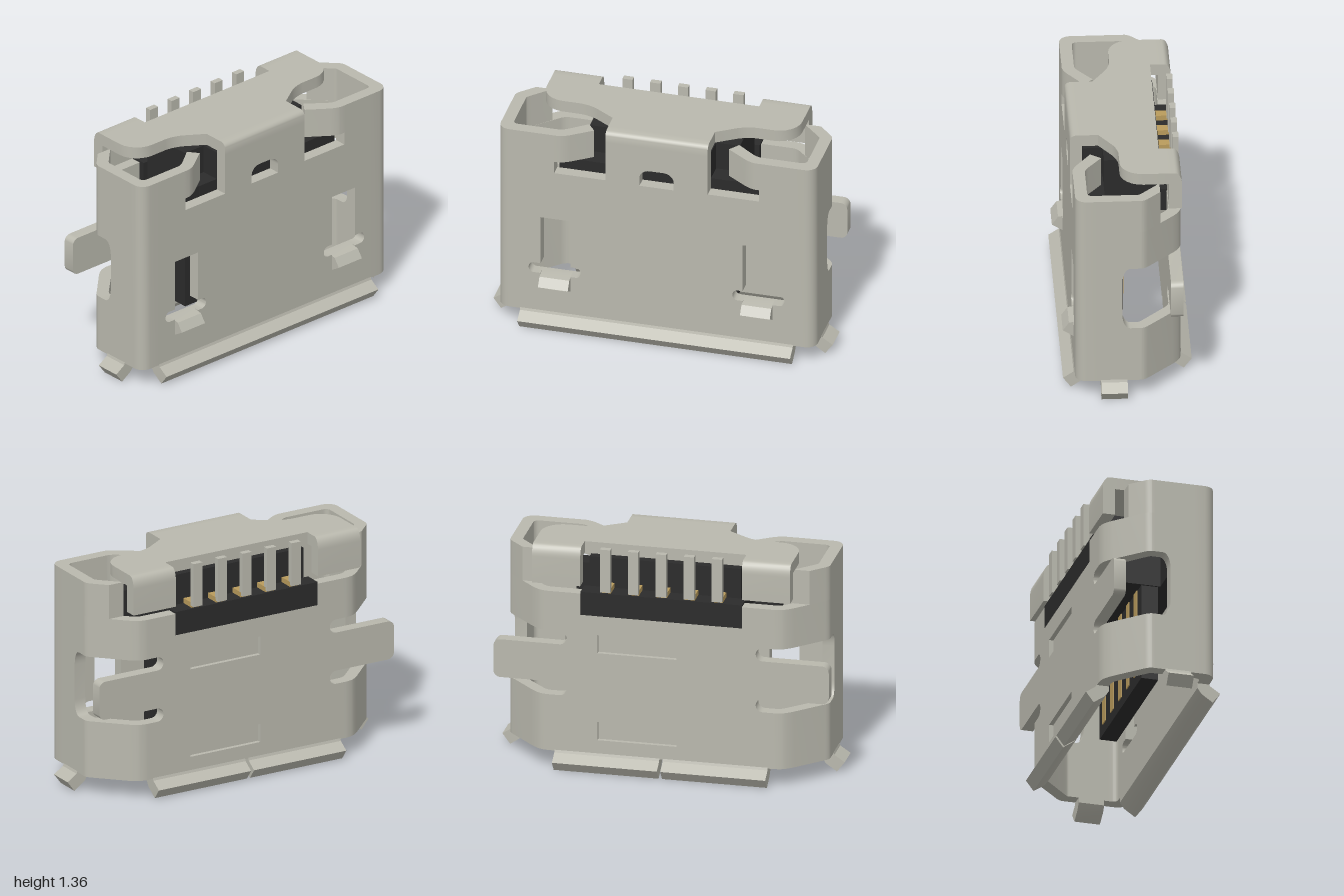
import * as THREE from 'three';
import { toCreasedNormals } from 'three/addons/utils/BufferGeometryUtils.js';

const mat = (name, color) => Object.assign(new THREE.MeshStandardMaterial({ color }), { name });

export function createModel() {
  const model = new THREE.Group();
  model.name = 'socket';
  const steel = mat('steel', 0xb9b8ad);
  const plastic = mat('blackPlastic', 0x2b2b2b);
  const gold = mat('gold', 0xb99b5c);

  // Closed outline from [x, y, cornerRadius] points
  function outline(pts, Kind = THREE.Shape) {
    const out = [];
    pts.forEach(([x, y, r], i) => {
      const p = new THREE.Vector2(x, y);
      if (!r) return out.push(p);
      const toward = (q) => {
        const d = new THREE.Vector2(q[0], q[1]).sub(p);
        return p.clone().addScaledVector(d, Math.min(r / d.length(), 0.5));
      };
      const a = toward(pts[(i + pts.length - 1) % pts.length]);
      const b = toward(pts[(i + 1) % pts.length]);
      // conic corner, close to a circular arc
      for (let k = 0; k <= 6; k++) {
        const t = k / 6, w0 = (1 - t) ** 2, w1 = Math.SQRT2 * t * (1 - t), w2 = t * t, w = w0 + w1 + w2;
        out.push(new THREE.Vector2(
          (a.x * w0 + p.x * w1 + b.x * w2) / w, (a.y * w0 + p.y * w1 + b.y * w2) / w));
      }
    });
    return new Kind(out);
  }
  const mirrored = (half) => [...half, ...half.map(([x, y, r]) => [-x, y, r]).reverse()];

  function add(name, geo, material) {
    const mesh = new THREE.Mesh(geo, material);
    mesh.name = name;
    model.add(mesh);
    return mesh;
  }
  // Extrude an outline along an axis; pts are (x,y) for z, (x,z) for y, (z,y) for x
  function prism(name, axis, pts, from, to, holes = []) {
    const map = ([a, b, r]) => axis === 'y' ? [a, -b, r] : axis === 'x' ? [-a, b, r] : [a, b, r];
    const shape = outline(pts.map(map));
    shape.holes = holes.map((h) => outline(h.map(map), THREE.Path));
    let geo = new THREE.ExtrudeGeometry(shape, { depth: to - from, bevelEnabled: false });
    geo.translate(0, 0, from);
    if (axis === 'y') geo.rotateX(-Math.PI / 2);
    if (axis === 'x') geo.rotateY(Math.PI / 2);
    return add(name, toCreasedNormals(geo, 0.5), steel);
  }
  function block(name, x0, x1, y0, y1, z0, z1, material) {
    const geo = new THREE.BoxGeometry(x1 - x0, y1 - y0, z1 - z0);
    geo.translate((x0 + x1) / 2, (y0 + y1) / 2, (z0 + z1) / 2);
    return add(name, geo, material);
  }
  const rect = (x0, x1, y0, y1) => [[x0, y0], [x1, y0], [x1, y1], [x0, y1]];

  // Front wall with latch openings and the small arched window
  const latch = (s) => [
    [0.505, 0.36], [0.445, 0.36, 0.03], [0.445, 0.425, 0.03], [0.505, 0.425], [0.505, 0.73],
    [0.68, 0.73], [0.68, 0.425], [0.75, 0.425, 0.03], [0.75, 0.36, 0.03], [0.68, 0.36],
    [0.68, 0.26, 0.04], [0.505, 0.26, 0.04],
  ].map(([x, y, r]) => [s * x, y, r]);
  const archWindow = [[-0.1, 1.03], [0.1, 1.03], [0.1, 1.135, 0.06], [-0.1, 1.135, 0.06]];
  prism('frontWall', 'z', mirrored([
    [0.8, 0.11], [0.8, 1.285], [0.6, 1.285], [0.6, 1.035], [0.3, 1.035], [0.3, 1.285],
  ]), 0.235, 0.305, [latch(1), latch(-1), archWindow]);

  // Back wall with slots, mounting wings and two shallow stamped panels
  const panels = [0.25, 0.78].map((y) => rect(-0.09, 0.37, y - 0.055, y + 0.055));
  prism('backWall', 'z', mirrored([
    [0.64, 0.11], [0.64, 0.45], [0.55, 0.45, 0.04], [0.55, 0.53, 0.04],
    [0.975, 0.53, 0.04], [0.975, 0.76, 0.04], [0.55, 0.76, 0.04], [0.55, 0.84, 0.04],
    [0.64, 0.84], [0.64, 1.08], [0.47, 1.08], [0.47, 0.95],
  ]), -0.305, -0.235, panels);
  panels.forEach((p) => prism('stampedPanel', 'z', p, -0.28, -0.235));

  // Bent lip cross-section: distance outward from the wall, height
  const lip = [[0, 0.115], [0.005, 0.1], [0.065, 0.06], [0.02, 0], [-0.045, 0.045], [-0.07, 0.08], [-0.07, 0.115]];

  for (const s of [1, -1]) {
    const mx = (pts) => pts.map(([x, b, r]) => [s * x, b, r]);
    const spanX = (a, b) => s > 0 ? [a, b] : [-b, -a];

    // Side wall with its round-cornered window notch
    prism('sideWall', 'x', [
      [0.18, 0.11], [0.18, 1.285], [-0.05, 1.285], [-0.05, 0.84], [0.04, 0.84, 0.09],
      [0.04, 0.45, 0.09], [-0.05, 0.45], [-0.05, 0.11],
    ], ...spanX(0.86, 0.93));
    prism('frontCorner', 'y', mx([
      [0.93, 0.18], [0.93, 0.305, 0.12], [0.8, 0.305], [0.8, 0.235], [0.86, 0.235, 0.055], [0.86, 0.18],
    ]), 0.11, 1.285);
    // Slanted rear corners, above and below the window
    const slant = mx([
      [0.93, -0.05], [0.93, -0.085, 0.03], [0.73, -0.285, 0.05], [0.68, -0.305, 0.03], [0.63, -0.305],
      [0.63, -0.235], [0.68, -0.235, 0.03], [0.86, -0.06, 0.03], [0.86, -0.05],
    ]);
    prism('rearCornerLower', 'y', slant, 0.11, 0.45);
    prism('rearCornerUpper', 'y', slant, 0.84, 1.08);
    prism('rearCornerTop', 'y', mx([
      [0.93, -0.05], [0.93, -0.085, 0.03], [0.835, -0.18], [0.74, -0.18], [0.86, -0.06, 0.03], [0.86, -0.05],
    ]), 1.08, 1.285);

    // Inward-bent finger beside the cover strap
    prism('finger', 'y', mx([
      [0.61, 0.305], [0.55, 0.305, 0.05], [0.395, 0.195], [0.44, 0.135], [0.57, 0.235, 0.04], [0.61, 0.235],
    ]), 1.11, 1.285);

    // Latch hook poking out through the front wall
    prism('latchHook', 'x', [
      [0.235, 0.36], [0.27, 0.36], [0.33, 0.35], [0.365, 0.3], [0.3, 0.26], [0.235, 0.26],
    ], ...spanX(0.505, 0.68));

    // Flared mouth lips on the side and back
    prism('sideLip', 'z', lip.map(([d, y]) => [s * (0.93 + d), y]), 0.01, 0.16);
    prism('backLip', 'x', lip.map(([d, y]) => [-0.305 - d, y]), ...spanX(0.01, 0.62));

    // Cover flap folded down at the back
    prism('coverFlap', 'x', [
      [-0.23, 1.355], [-0.308, 1.355, 0.07], [-0.308, 1.125], [-0.235, 1.125], [-0.235, 1.285], [-0.23, 1.285],
    ], ...spanX(0.47, 0.75));

    // Plastic shoulder
    block('shoulder', ...spanX(0.43, 0.59), 0.86, 1.1, 0.12, 0.23, plastic);
  }
  prism('frontLip', 'x', lip.map(([d, y]) => [0.305 + d, y]), -0.8, 0.8);

  // Top cover and its strap rolling over into the front wall
  prism('cover', 'y', mirrored([
    [0.47, -0.19], [0.47, -0.23], [0.75, -0.23], [0.75, 0.04, 0.13], [0.46, 0.04, 0.06],
    [0.3, 0.145], [0.3, 0.235],
  ]), 1.285, 1.355);
  prism('coverStrap', 'x', [[0.235, 1.285], [0.305, 1.285], [0.305, 1.355, 0.07], [0.235, 1.355]], -0.3, 0.3);

  // Plastic insert: body, rear ledge and tongue
  block('insertBody', -0.44, 0.44, 0.86, 1.27, -0.2, 0.12, plastic);
  block('insertFront', -0.43, 0.43, 0.86, 1.1, 0.12, 0.232, plastic);
  block('insertFrontTop', -0.3, 0.3, 1.1, 1.27, 0.12, 0.232, plastic);
  block('rearLedge', -0.47, 0.47, 0.95, 1.09, -0.304, -0.2, plastic);
  block('tongue', -0.43, 0.43, 0.28, 0.86, 0.01, 0.11, plastic);

  // Five pins with gold feet and contacts
  for (const x of [-0.325, -0.1625, 0, 0.1625, 0.325]) {
    block('pin', x - 0.03, x + 0.03, 1.1, 1.36, -0.31, -0.275, steel);
    block('pinFoot', x - 0.03, x + 0.03, 1.09, 1.12, -0.29, -0.2, gold);
    block('contact', x - 0.03, x + 0.03, 0.34, 0.86, 0.004, 0.01, gold);
  }
  return model;
}
